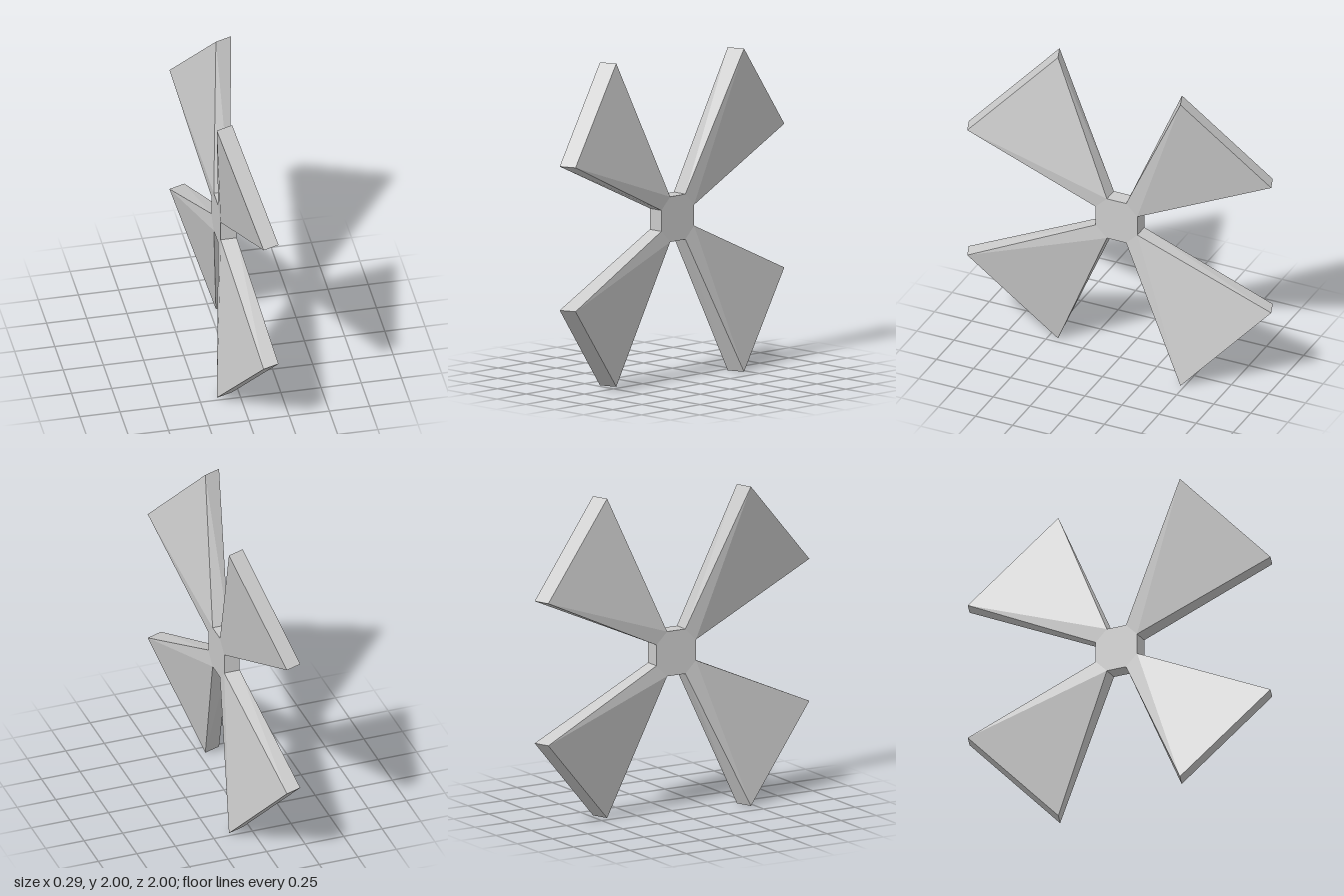
import * as THREE from 'three';
import { ConvexGeometry } from 'three/addons/geometries/ConvexGeometry.js';

const HALF = 0.05;   // half thickness of the hub
const NEAR = 0.065;  // short and long octagon offsets
const FAR = 0.14;

export function createModel() {
  const model = new THREE.Group();
  model.name = 'fourBladeRotor';
  const material = new THREE.MeshStandardMaterial({ color: 0xcccccc, flatShading: true });

  const add = (name, geometry) => {
    const mesh = new THREE.Mesh(geometry, material);
    mesh.name = name;
    mesh.position.y = 1;
    model.add(mesh);
  };

  // Eight-sided hub with its axis along x
  const outline = [
    [FAR, NEAR], [NEAR, FAR], [-NEAR, FAR], [-FAR, NEAR],
    [-FAR, -NEAR], [-NEAR, -FAR], [NEAR, -FAR], [FAR, -NEAR],
  ].map(([x, y]) => new THREE.Vector2(x, y));
  const hub = new THREE.ExtrudeGeometry(new THREE.Shape(outline), { depth: 2 * HALF, bevelEnabled: false });
  hub.translate(0, 0, -HALF).rotateY(Math.PI / 2);
  add('hub', hub);

  // Corners of the upper front blade, relative to the hub centre
  const corners = [
    [-HALF, FAR, NEAR], [HALF, FAR, NEAR],         // root, upper edge
    [-HALF, NEAR, FAR], [HALF, NEAR, FAR],         // root, lower edge
    [-0.143, 1, 0.475], [-0.04, 1, 0.437],         // tip, upper corner
    [0.04, 0.445, 1], [0.14, 0.445, 0.963],        // tip, outer corner
  ];

  // Lower blades mirror the upper ones; back blades are a half turn about y
  for (const [side, turn] of [['Front', 1], ['Back', -1]]) {
    for (const [level, flip] of [['upper', 1], ['lower', -1]]) {
      const points = corners.map(([x, y, z]) => new THREE.Vector3(x * turn, y * flip, z * turn));
      add(`${level}${side}Blade`, new ConvexGeometry(points));
    }
  }
  return model;
}
